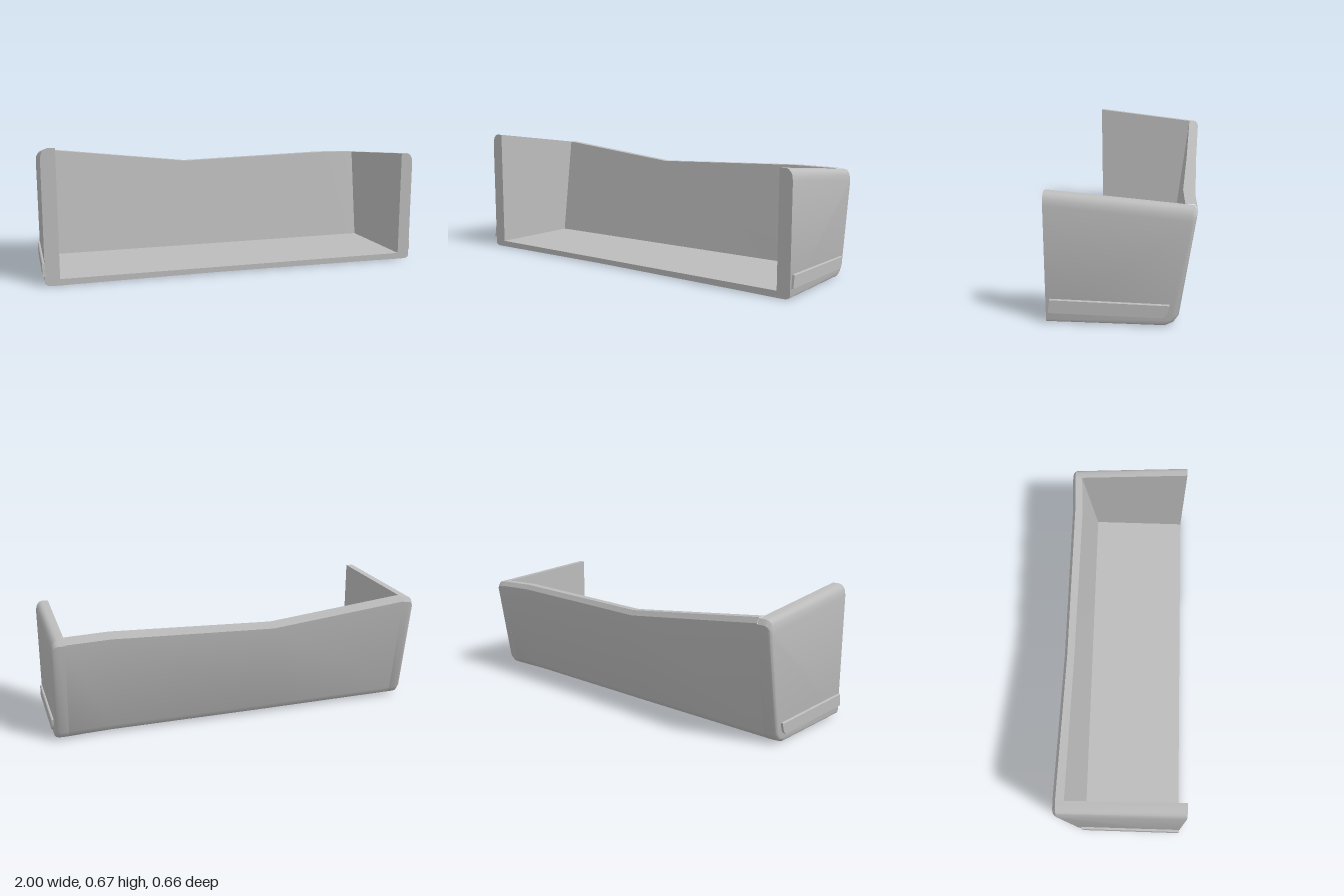
import * as THREE from 'three';
import { toCreasedNormals } from 'three/addons/utils/BufferGeometryUtils.js';

// Skins a row of matching (z, y) outlines placed at rising x; ends may be capped.
function loft(sections, capStart, capEnd) {
  const pos = [], idx = [], n = sections[0].outline.length;
  for (const { x, outline } of sections) for (const [z, y] of outline) pos.push(x, y, z);
  for (let k = 0; k < sections.length - 1; k++) {
    for (let i = 0; i < n; i++) {
      const a = k * n + i, b = k * n + (i + 1) % n;
      idx.push(a, b, b + n, a, b + n, a + n);
    }
  }
  const cap = (k, flip) => {
    const flat = sections[k].outline.map(([z, y]) => new THREE.Vector2(-z, y));
    for (const [a, b, c] of THREE.ShapeUtils.triangulateShape(flat, [])) {
      const o = k * n;
      idx.push(o + a, o + (flip ? c : b), o + (flip ? b : c));
    }
  };
  if (capStart) cap(0, true);
  if (capEnd) cap(sections.length - 1, false);
  const g = new THREE.BufferGeometry();
  g.setAttribute('position', new THREE.Float32BufferAttribute(pos, 3));
  g.setIndex(idx);
  return toCreasedNormals(g, 0.6);
}

const FRONT = 0.326;

// Rounded heel and leaning back shared by the tray and the end walls.
function backProfile(shift, top, base, e = 0) {
  const y = top - 0.025, z = -0.255 + shift - 0.159 * (y - 0.05);
  return [
    [FRONT, base + e],
    [-0.197 + shift + e * 0.6, base + e],
    [-0.232 + shift + e * 0.8, 0.018 + e],
    [-0.255 + shift + e, 0.05 + e],
    [z + e, y],
    [z + 0.015 + e * 0.4, top],
  ];
}

export function createModel() {
  const model = new THREE.Group();
  const grey = new THREE.MeshStandardMaterial({ color: 0xbcbcbc });
  grey.name = 'plain grey';
  const add = (name, geometry) => {
    const mesh = new THREE.Mesh(geometry, grey);
    mesh.name = name;
    model.add(mesh);
  };

  // Floor and back wall: [x, back shift, top height, underside, inner top z, inner foot z]
  const stations = [
    [-0.92, 0.02, 0.605, 0.003, -0.262, -0.185],
    [-0.15, 0.013, 0.52, 0.008, -0.26, -0.191],
    [0.7, 0.013, 0.545, 0.004, -0.26, -0.198],
    [0.92, 0, 0.54, 0.002, -0.275, -0.2],
  ];
  add('floorAndBack', loft(stations.map(([x, shift, top, base, innerTop, foot]) => ({
    x,
    outline: [
      ...backProfile(shift, top, base),
      [innerTop, top], [foot, 0.035], [FRONT, 0.035],
    ],
  })), false, false));

  // End walls, rounded over along the outer top: [thickness share, edge inset, top drop]
  const rounding = [
    [0, 0, 0], [0.5, 0, 0], [0.7, 0.001, 0.005],
    [0.85, 0.004, 0.016], [0.95, 0.009, 0.03], [1, 0.016, 0.055],
  ];
  const walls = [
    { name: 'leftWall', side: 1, thick: 0.066, shift: 0, front: 0.591, back: 0.536, base: 0.002 },
    { name: 'rightWall', side: -1, thick: 0.071, shift: 0.02, front: 0.674, back: 0.6, base: 0.003 },
  ];
  for (const w of walls) {
    const sections = rounding.map(([t, e, drop]) => ({
      x: w.side * (0.919 + t * w.thick),
      outline: [...backProfile(w.shift, w.back - drop, w.base, e), [FRONT, w.front - drop]],
    }));
    if (w.side < 0) sections.reverse();
    add(w.name, loft(sections, true, true));
  }

  // Raised trim strips low on the outside of each wall
  const strip = [
    [0.315, 0.053], [-0.185, 0.047], [-0.2, 0.058],
    [-0.21, 0.075], [-0.215, 0.107], [0.307, 0.116],
  ];
  for (const w of walls) {
    const face = 0.919 + w.thick;
    const sections = [[face - 0.01, 0], [face + 0.007, 0], [face + 0.011, 0.003]].map(([x, e]) => ({
      x: w.side * x,
      outline: strip.map(([z, y]) => [z + (w.side < 0 ? 0.012 : 0), y > 0.1 ? y - e : y]),
    }));
    if (w.side < 0) sections.reverse();
    add(w.name + 'Strip', loft(sections, true, true));
  }
  return model;
}
